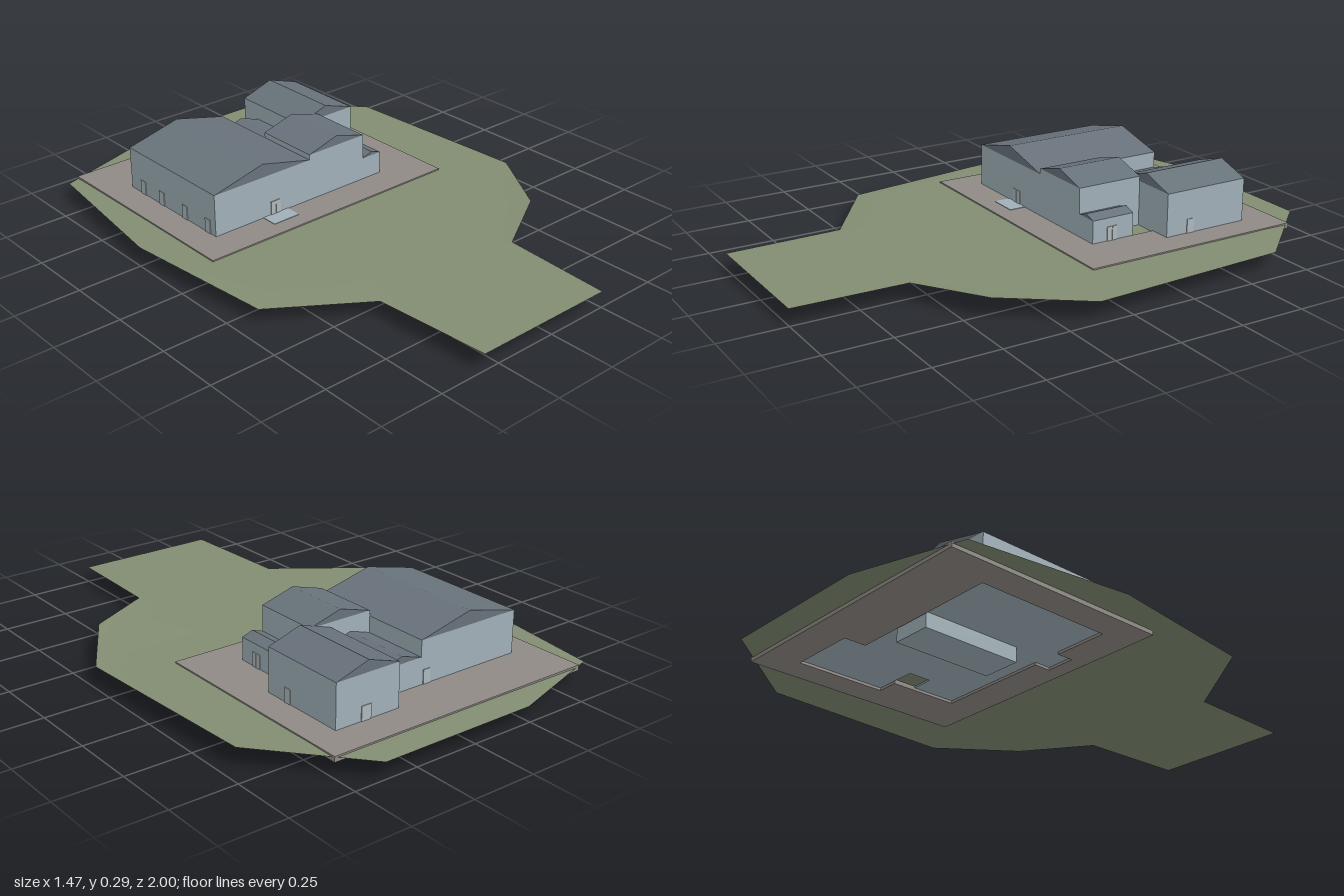
import * as THREE from 'three';

const material = (name, color, extra = {}) =>
  Object.assign(new THREE.MeshStandardMaterial({ color, ...extra }), { name });

export function createModel() {
  const model = new THREE.Group();
  model.name = 'farmCompound';
  const grass = material('grass', 0x828d72, { side: THREE.DoubleSide });
  const paving = material('paving', 0x8f8a85);
  const wall = material('wall', 0xa0b0b8);
  const roof = material('roof', 0x68727a);
  const door = material('door', 0xaeb8bb);
  const FLOOR = 0.057, TOP = 0.068;

  const add = (name, geometry, mat, parent = model) => {
    const mesh = new THREE.Mesh(geometry, mat);
    mesh.name = name;
    parent.add(mesh);
    return mesh;
  };
  // Box given by its lower and upper limits on each axis
  const box = (name, mat, x0, x1, y0, y1, z0, z1, parent) =>
    add(name, new THREE.BoxGeometry(x1 - x0, y1 - y0, z1 - z0), mat, parent)
      .position.set((x0 + x1) / 2, (y0 + y1) / 2, (z0 + z1) / 2);

  // Ground: flat middle with a gently rising and falling rim, [x, y, z]
  const rim = [
    [-0.24, 0.06, -1], [0.38, 0.06, -1], [0.69, 0.065, -0.655], [0.73, 0.066, 0.12],
    [0.54, 0.077, 0.42], [0.27, 0.066, 0.575], [0.25, 0.062, 1], [-0.315, 0.062, 1],
    [-0.34, 0.056, 0.55], [-0.67, 0.053, 0.32], [-0.735, 0.06, -0.27], [-0.655, 0.06, -0.87],
  ];
  const n = rim.length, cz = -0.1, s = 0.85;
  const points = [0, 0.063, cz];
  rim.forEach(([x, , z]) => points.push(x * s, 0.063, cz + (z - cz) * s));
  rim.forEach((p) => points.push(...p));
  const faces = [];
  for (let i = 0; i < n; i++) {
    const a = 1 + i, b = 1 + ((i + 1) % n);
    faces.push(0, b, a, a, b, b + n, a, b + n, a + n);
  }
  const ground = new THREE.BufferGeometry();
  ground.setAttribute('position', new THREE.Float32BufferAttribute(points, 3));
  ground.setIndex(faces);
  ground.computeVertexNormals();
  add('ground', ground, grass);

  // Paved slab, cut out around the buildings and the small courtyard
  const outline = (pts) => pts.map(([x, z]) => new THREE.Vector2(x, -z));
  const slab = new THREE.Shape(outline([[-0.605, -0.015], [0.49, -0.015], [0.49, -0.89], [-0.605, -0.89]]));
  slab.holes.push(new THREE.Path(outline([
    [-0.495, -0.145], [-0.28, -0.145], [-0.28, -0.08], [-0.165, -0.08], [-0.165, -0.145],
    [0.295, -0.145], [0.295, -0.41], [0.38, -0.41], [0.38, -0.76], [0.115, -0.76],
    [0.115, -0.675], [-0.495, -0.675],
  ])));
  const slabGeometry = new THREE.ExtrudeGeometry(slab, { depth: TOP - 0.047, bevelEnabled: false });
  slabGeometry.rotateX(-Math.PI / 2);
  add('pavedSlab', slabGeometry, paving).position.y = 0.047;

  // Gabled buildings: walls up to the eaves, then a prism roof along z
  const building = (name, x0, x1, z0, z1, eaves, ridge) => {
    const group = new THREE.Group();
    group.name = name;
    model.add(group);
    box(name + 'Walls', wall, x0, x1, FLOOR, eaves, z0, z1, group);
    const gable = new THREE.Shape([
      new THREE.Vector2(x0, eaves), new THREE.Vector2(x1, eaves), new THREE.Vector2((x0 + x1) / 2, ridge),
    ]);
    const prism = new THREE.ExtrudeGeometry(gable, { depth: z1 - z0, bevelEnabled: false });
    add(name + 'Roof', prism, roof, group).position.z = z0;
  };
  building('mainHall', -0.495, -0.058, -0.675, -0.145, 0.232, 0.285);
  building('frontWing', -0.058, 0.207, -0.41, -0.145, 0.253, 0.291);
  building('rearWing', 0.115, 0.38, -0.76, -0.41, 0.234, 0.277);
  building('linkBlock', -0.058, 0.115, -0.675, -0.41, 0.17, 0.197);
  building('sidePorch', 0.207, 0.295, -0.32, -0.145, 0.155, 0.17);

  // Cellar below the floor and the step at the main entrance
  box('cellar', wall, -0.21, -0.055, 0, FLOOR, -0.67, -0.275);
  box('entranceStep', wall, -0.28, -0.165, FLOOR, 0.07, -0.145, -0.08);

  // Doors as thin plates
  const T = 0.003, H = 0.122;
  const doorZ = (x, z, w) => box('door', door, x - w / 2, x + w / 2, TOP, H, z - T, z + T);
  const doorX = (x, z, w) => box('door', door, x - T, x + T, TOP, H, z - w / 2, z + w / 2);
  for (const x of [-0.234, -0.211]) doorZ(x, -0.145, 0.021);
  doorZ(-0.084, -0.675, 0.03);
  doorZ(0.255, -0.76, 0.04);
  for (const z of [-0.595, -0.475, -0.33, -0.19]) doorX(-0.495, z, 0.03);
  for (const z of [-0.217, -0.239]) doorX(0.295, z, 0.02);
  doorX(0.38, -0.515, 0.03);

  return model;
}
